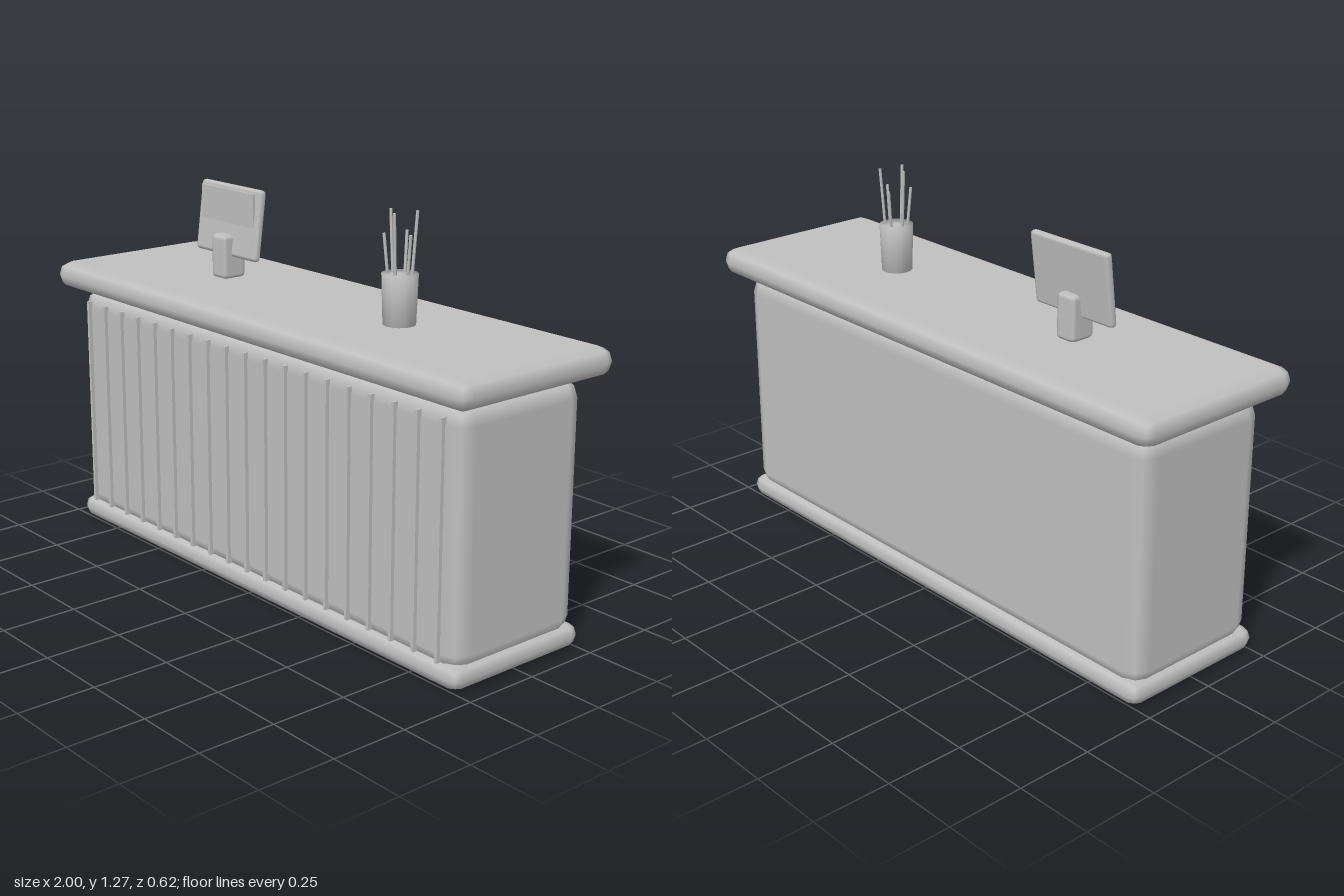
import * as THREE from 'three';
import { RoundedBoxGeometry } from 'three/addons/geometries/RoundedBoxGeometry.js';

export function createModel() {
  const model = new THREE.Group();
  model.name = 'receptionCounter';
  const grey = new THREE.MeshStandardMaterial({ color: 0xc0c0c0 });
  grey.name = 'plain grey';

  function add(parent, name, geometry, x, y, z) {
    const mesh = new THREE.Mesh(geometry, grey);
    mesh.name = name;
    mesh.position.set(x, y, z);
    parent.add(mesh);
    return mesh;
  }
  const rounded = (w, h, d, r) => new RoundedBoxGeometry(w, h, d, 1, r);
  function addGroup(name) {
    const group = new THREE.Group();
    group.name = name;
    model.add(group);
    return group;
  }

  // Counter: plinth, body and overhanging worktop
  add(model, 'plinth', rounded(1.9, 0.075, 0.526, 0.036), 0, 0.0375, 0);
  add(model, 'body', rounded(1.876, 0.795, 0.5, 0.06), 0, 0.4375, 0);
  add(model, 'worktop', rounded(2, 0.092, 0.62, 0.045), 0, 0.884, 0);

  // Thin vertical slats across the front
  const slats = addGroup('frontSlats');
  const slatGeometry = new THREE.BoxGeometry(0.011, 0.725, 0.016);
  for (let i = 0; i < 19; i++) {
    add(slats, 'slat', slatGeometry, -0.87 + (i * 1.74) / 18, 0.4375, 0.254);
  }

  // Tilted monitor with an upright screen panel and a stubby stand
  const monitor = addGroup('monitor');
  add(monitor, 'monitorStand', rounded(0.075, 0.147, 0.09, 0.015), -0.418, 1.0015, -0.005);
  const casing = add(monitor, 'monitorCasing', rounded(0.32, 0.234, 0.027, 0.012), -0.418, 1.118, -0.0165);
  casing.rotation.x = -0.13;
  add(monitor, 'screen', new THREE.BoxGeometry(0.275, 0.18, 0.009), -0.418, 1.132, -0.0065);

  // Pen cup, slightly wider at the top
  const cup = addGroup('penCup');
  const profile = [[0, 0], [0.05, 0], [0.0555, 0.155], [0, 0.155]].map(([r, y]) => new THREE.Vector2(r, y));
  add(cup, 'cup', new THREE.LatheGeometry(profile, 16), 0.42, 0.93, 0);

  // Six pens leaning outward, alternately short and tall
  const up = new THREE.Vector3(0, 1, 0);
  for (let i = 0; i < 6; i++) {
    const angle = (i * Math.PI) / 3 + 0.1;
    const at = (r, y) => new THREE.Vector3(0.42 + r * Math.cos(angle), y, r * Math.sin(angle));
    const base = at(0.034, 1.05);
    const tip = at(0.049, i % 2 ? 1.27 : 1.205);
    const axis = tip.clone().sub(base);
    const middle = base.clone().add(tip).multiplyScalar(0.5);
    const pen = add(cup, 'pen', new THREE.CylinderGeometry(0.005, 0.005, axis.length(), 6), middle.x, middle.y, middle.z);
    pen.quaternion.setFromUnitVectors(up, axis.normalize());
  }

  return model;
}
